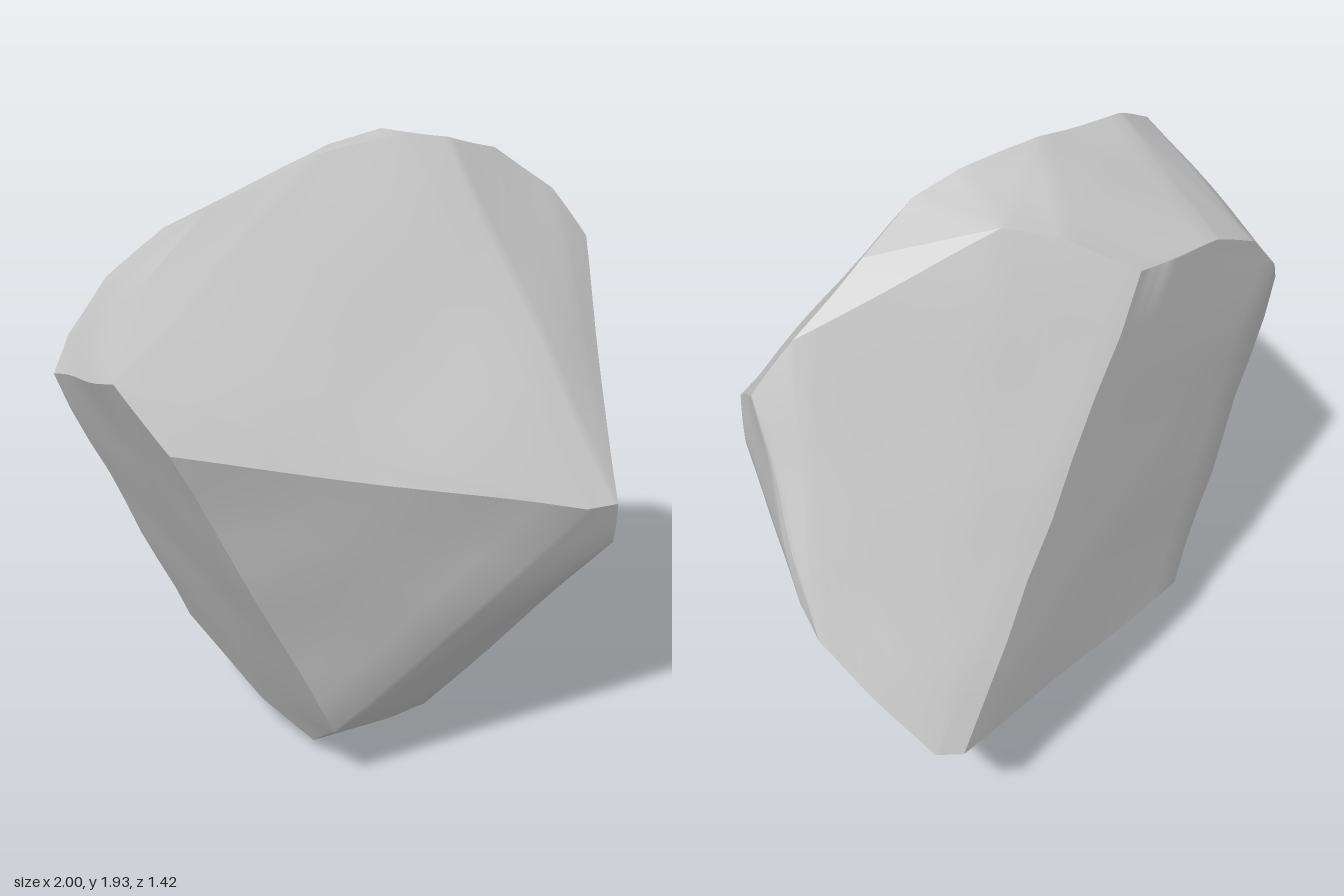
import * as THREE from 'three';
import { ConvexGeometry } from 'three/addons/geometries/ConvexGeometry.js';
import { toCreasedNormals } from 'three/addons/utils/BufferGeometryUtils.js';

// Corners of the chipped boulder, grouped by region
const corners = [
  // front tip
  [0.25, 0.92, 0.71], [0.13, 0.93, 0.68], [0.29, 0.77, 0.67],
  // top ridge, left to right
  [-0.95, 1.28, 0.06], [-1, 1.46, -0.08], [-0.76, 1.68, -0.19], [-0.5, 1.81, -0.21],
  [-0.1, 1.91, -0.15], [0.2, 1.93, -0.07], [0.35, 1.91, -0.02], [0.58, 1.84, 0], [0.79, 1.68, 0.08], [0.86, 1.52, 0.17],
  // upper back edge, right to left
  [0.36, 1.9, -0.29], [0.25, 1.85, -0.42], [0.13, 1.74, -0.59], [-0.05, 1.69, -0.62],
  [-0.25, 1.64, -0.65], [-0.47, 1.53, -0.685], [-0.62, 1.38, -0.71], [-0.7, 1.28, -0.69],
  // right edge
  [0.93, 1.2, 0.03], [0.96, 0.94, 0], [1, 0.87, -0.08], [0.92, 0.5, -0.4], [0.86, 0.48, -0.46],
  // underside
  [0.6, 0.2, -0.2], [0.3, 0.03, 0], [0.2, 0, 0.03], [-0.25, 0.04, -0.08],
  [-0.27, 0.13, -0.28], [-0.25, 0.31, -0.62], [-0.4, 0.22, 0.15],
];

// Split every triangle into n * n smaller ones
function subdivide(geometry, n) {
  const p = geometry.attributes.position;
  const out = [];
  const [a, b, c] = [0, 1, 2].map(() => new THREE.Vector3());
  const put = (i, j) => {
    const u = i / n, v = j / n, w = 1 - u - v;
    out.push(a.x * w + b.x * u + c.x * v, a.y * w + b.y * u + c.y * v, a.z * w + b.z * u + c.z * v);
  };
  for (let t = 0; t < p.count; t += 3) {
    [a, b, c].forEach((v, k) => v.fromBufferAttribute(p, t + k));
    for (let i = 0; i < n; i++) {
      for (let j = 0; j < n - i; j++) {
        put(i, j); put(i + 1, j); put(i, j + 1);
        if (i + j < n - 1) { put(i + 1, j); put(i + 1, j + 1); put(i, j + 1); }
      }
    }
  }
  const result = new THREE.BufferGeometry();
  result.setAttribute('position', new THREE.Float32BufferAttribute(out, 3));
  return result;
}

// Faint weathering: shift each vertex by a smooth function of its place
function weather(geometry, amount) {
  const p = geometry.attributes.position;
  for (let i = 0; i < p.count; i++) {
    const x = p.getX(i), y = p.getY(i), z = p.getZ(i);
    p.setXYZ(i,
      x + amount * Math.sin(13 * y + 5 * z),
      Math.max(0, y + amount * Math.sin(11 * x - 7 * z)),
      z + amount * Math.sin(12 * y - 6 * x));
  }
  return geometry;
}

export function createModel() {
  const group = new THREE.Group();
  group.name = 'rock';
  const hull = new ConvexGeometry(corners.map((c) => new THREE.Vector3(...c)));
  const boulder = new THREE.Mesh(
    toCreasedNormals(weather(subdivide(hull, 8), 0.004), 0.4),
    new THREE.MeshStandardMaterial({ color: 0xcccccc }),
  );
  boulder.name = 'boulder';
  group.add(boulder);
  return group;
}
